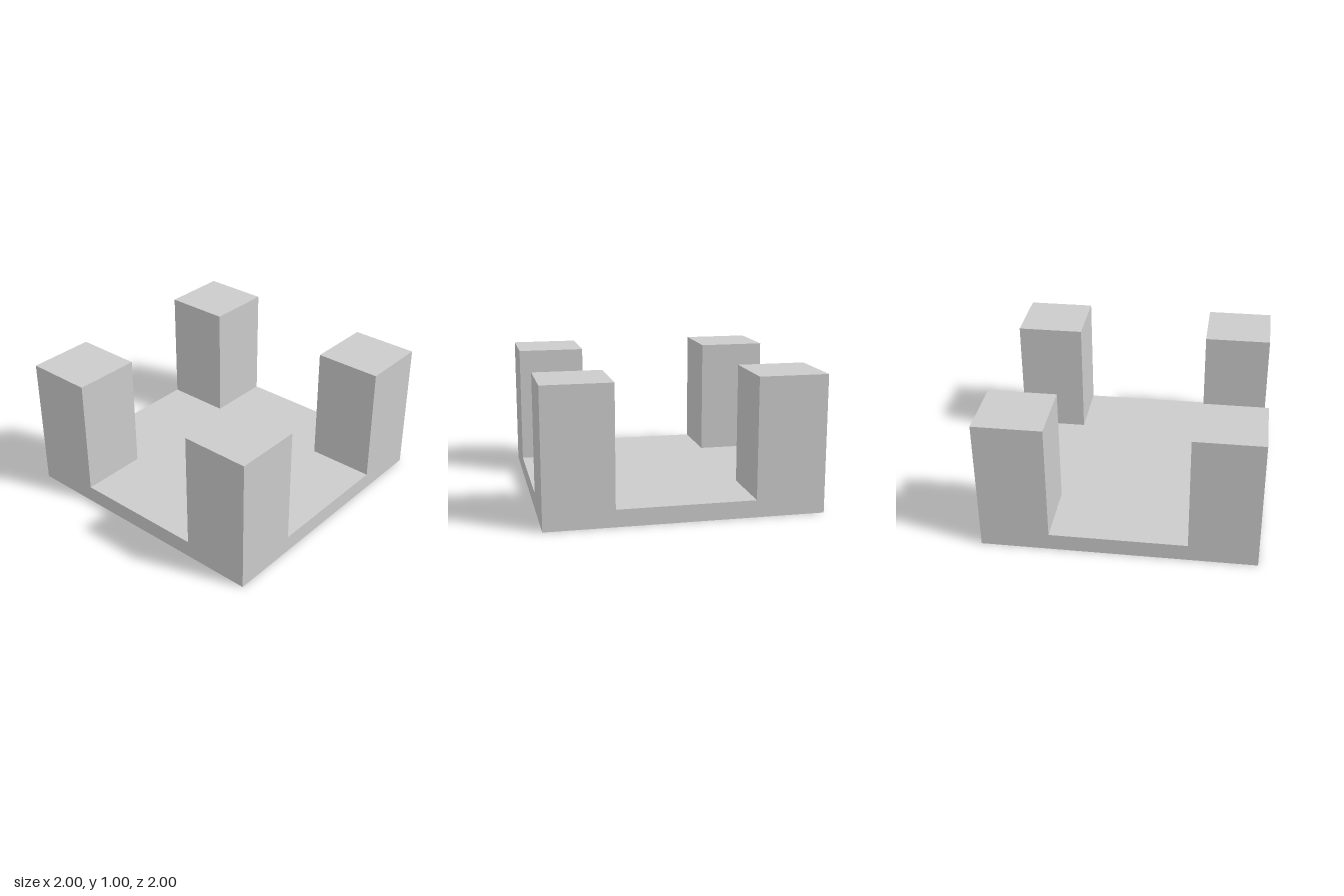
import * as THREE from 'three';

const SIZE = 2;        // width and depth of the base
const BASE = 0.125;    // base thickness
const HEIGHT = 1;      // overall height
const POST = 0.5;      // width and depth of each post

export function createModel() {
  const model = new THREE.Group();
  model.name = 'basePlateWithCornerPosts';
  const material = new THREE.MeshStandardMaterial({ color: 0xcccccc, flatShading: true });

  // Square base plate
  const base = new THREE.Mesh(new THREE.BoxGeometry(SIZE, BASE, SIZE), material);
  base.name = 'basePlate';
  base.position.y = BASE / 2;
  model.add(base);

  // Four corner posts, flush with the outer edges of the plate
  const postGeometry = new THREE.BoxGeometry(POST, HEIGHT - BASE, POST);
  const offset = (SIZE - POST) / 2;
  for (const [sideName, sx] of [['Left', 1], ['Right', -1]]) {
    for (const [endName, sz] of [['front', 1], ['back', -1]]) {
      const post = new THREE.Mesh(postGeometry, material);
      post.name = `${endName}${sideName}Post`;
      post.position.set(sx * offset, (HEIGHT + BASE) / 2, sz * offset);
      model.add(post);
    }
  }
  return model;
}
